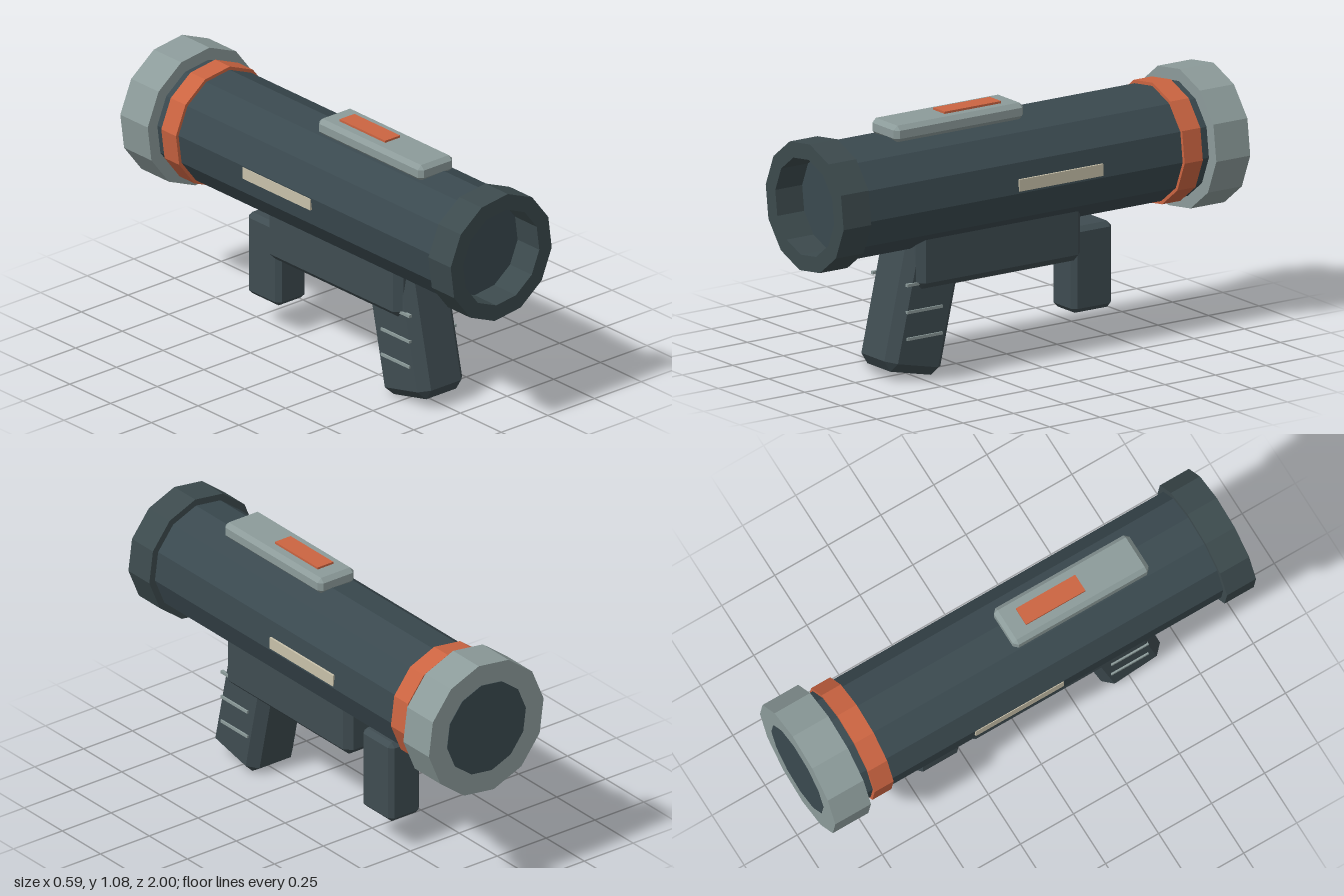
import * as THREE from 'three';
import { ConvexGeometry } from 'three/addons/geometries/ConvexGeometry.js';

const SIDES = 12, TWIST = 0.13, AXIS_Y = 0.776;

const paint = (name, color) => {
  const m = new THREE.MeshStandardMaterial({ color });
  m.name = name;
  return m;
};

// Corner points of the twelve-sided section
function ring(radius) {
  return Array.from({ length: SIDES }, (_, i) => {
    const a = (i / SIDES) * Math.PI * 2 - TWIST;
    return new THREE.Vector2(Math.cos(a) * radius, Math.sin(a) * radius);
  });
}

// Twelve-sided prism along z, optionally hollow
function prism(radius, z0, z1, inner = 0) {
  const shape = new THREE.Shape(ring(radius));
  if (inner) shape.holes.push(new THREE.Path(ring(inner).reverse()));
  const g = new THREE.ExtrudeGeometry(shape, { depth: z1 - z0, bevelEnabled: false });
  return g.translate(0, AXIS_Y, z0);
}

// Box with flat chamfers on every edge
function chamferBox(w, h, d, c) {
  const pts = [];
  const half = [w / 2, h / 2, d / 2];
  for (const sx of [-1, 1]) for (const sy of [-1, 1]) for (const sz of [-1, 1])
    for (let full = 0; full < 3; full++) {
      const p = half.map((v, i) => (i === full ? v : v - c));
      pts.push(new THREE.Vector3(sx * p[0], sy * p[1], sz * p[2]));
    }
  return new ConvexGeometry(pts);
}

export function createModel() {
  const body = paint('dark slate', 0x3a494f);
  const dark = paint('dark grey green', 0x3c4a4d);
  const gripColor = paint('grip slate', 0x3f4c51);
  const grey = paint('light grey', 0x8c9b9a);
  const orange = paint('orange', 0xcb6441);
  const cream = paint('cream', 0xc8c1aa);

  const model = new THREE.Group();
  model.name = 'launcher';
  const add = (name, geometry, material, x = 0, y = 0, z = 0) => {
    const mesh = new THREE.Mesh(geometry, material);
    mesh.name = name;
    mesh.position.set(x, y, z);
    model.add(mesh);
    return mesh;
  };

  // Barrel and its collars
  add('barrel', prism(0.244, -0.85, 0.867), body);
  add('muzzleRing', prism(0.273, 0.863, 1, 0.206), dark);
  add('orangeBand', prism(0.258, -0.79, -0.7), orange);
  add('rearRing', prism(0.296, -0.998, -0.83), grey);
  add('rearPlug', prism(0.203, -1, -0.995), body);

  // Top rail with its marker plate
  add('topRail', chamferBox(0.184, 0.07, 0.64, 0.018), grey, 0, 1.034, 0.292);
  add('railMarker', new THREE.BoxGeometry(0.08, 0.009, 0.28), orange, 0, 1.0735, 0.195);

  // Housing under the barrel, with the two grips
  add('housing', chamferBox(0.296, 0.25, 0.815, 0.03), gripColor, 0, 0.505, 0.128);
  const grip = add('rearGrip', chamferBox(0.24, 0.6, 0.284, 0.04), gripColor, 0, 0.317, 0.467);
  grip.rotation.x = -0.22;
  add('frontGrip', chamferBox(0.16, 0.36, 0.2, 0.02), gripColor, 0, 0.32, -0.375);

  // Side stripes and grip ridges, mirrored
  for (const [side, s] of [['left', 1], ['right', -1]]) {
    add(side + 'Stripe', new THREE.BoxGeometry(0.009, 0.05, 0.415), cream, s * 0.24, 0.778, -0.098);
    for (const y of [0.183, 0.295, 0.408])
      add(side + 'GripRidge', new THREE.BoxGeometry(0.014, 0.012, 0.175), grey, s * 0.12, y, 0.494);
  }
  return model;
}
